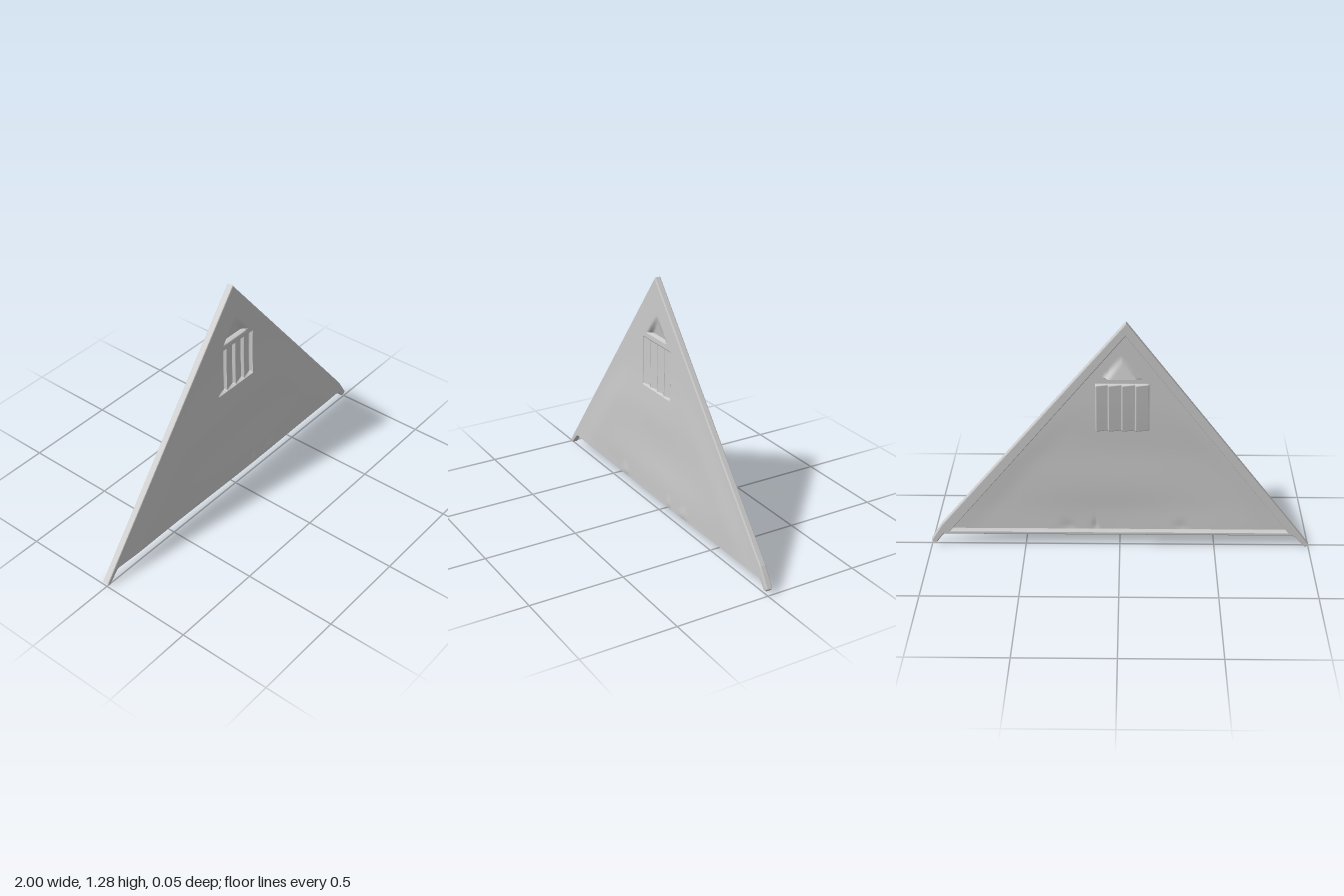
import * as THREE from 'three';

const APEX = [-0.03, 1.285];
const BASE = 0.075;
const LEFT_RUN = 0.767, RIGHT_RUN = 0.827; // horizontal run per unit of drop
const SLATS = { x0: -0.145, x1: 0.125, y0: 0.68, y1: 0.94, n: 4 };

const grey = () => new THREE.MeshStandardMaterial({ color: 0xcccccc, side: THREE.DoubleSide });
const smooth = THREE.MathUtils.smoothstep;
const bump = (x, y, cx, cy, rx, ry) => Math.exp(-(((x - cx) / rx) ** 2) - ((y - cy) / ry) ** 2);
const slopeX = (y, side, inset) => side < 0
  ? APEX[0] - (APEX[1] - y) * LEFT_RUN + inset
  : APEX[0] + (APEX[1] - y) * RIGHT_RUN - inset;

// Rim with sloping sides, drooping eave tips and a triangular opening
function makeFrame() {
  const points = [APEX, [-0.93, 0.113], [-1, 0.02], [-0.983, 0.004], [-0.925, 0.066], [-0.91, BASE],
    [0.93, BASE], [0.945, 0.06], [0.97, 0.026], [0.99, 0.026], [1, 0.04], [0.94, 0.135]];
  const outline = new THREE.Shape(points.map(p => new THREE.Vector2(...p)));
  const hole = [[-0.886, 0.095], [0.896, 0.095], [-0.028, 1.213]];
  outline.holes.push(new THREE.Path(hole.map(p => new THREE.Vector2(...p))));
  const geometry = new THREE.ExtrudeGeometry(outline, {
    depth: 0.023, bevelEnabled: true, bevelThickness: 0.006, bevelSize: 0.006, bevelOffset: -0.006, bevelSegments: 2,
  });
  geometry.translate(0, 0, -0.021);
  const frame = new THREE.Mesh(geometry, grey());
  frame.name = 'gableFrame';
  return frame;
}

// Height of the cloth-like panel, with the slatted window and its small pediment
function panelZ(x, y) {
  const edge = Math.min(x - slopeX(y, -1, 0.02), slopeX(y, 1, 0.02) - x);
  const fade = smooth(edge, 0, 0.2) * (1 - smooth(y, 0.5, 0.85));
  let z = 0.0085 + fade * (0.006 + 0.003 * Math.sin(5 * x + 1) * Math.cos(7 * y) + 0.004 * bump(x, y, 0, 0.55, 0.3, 0.15));
  // Creases along the bottom edge
  for (const [cx, r] of [[-0.33, 0.06], [0.13, 0.035], [0.27, 0.06]]) {
    z += 0.012 * Math.max(0, 1 - Math.abs(x - cx) / r - (y - BASE) / 0.09) * smooth(y, BASE, BASE + 0.03);
  }
  z += 0.004 * bump(x, y, 0, 0.2, 0.6, 0.1);
  // Slats: each one leans back from its raised edge
  const s = SLATS;
  if (x > s.x0 && x < s.x1 && y > s.y0 && y < s.y1) {
    const t = ((x - s.x0) / (s.x1 - s.x0) * s.n) % 1;
    z -= 0.004 + 0.018 * t;
  }
  // Triangular pediment, deepest along its lower edge
  const px = Math.abs(x + 0.01) / 0.095;
  const h = (y - 0.975) / 0.125;
  if (h > 0 && px + h < 1) z -= 0.024 * (1 - h) * smooth(1 - h - px, 0, 0.3);
  return z;
}

// Sorted stations: a regular run plus pairs hugging each sharp break
function stations(from, to, step, fineFrom, fineTo, breaks) {
  const list = [];
  for (let v = from; v < to; v += (v > fineFrom && v < fineTo) ? 0.01 : step) list.push(v);
  list.push(to);
  for (const b of breaks) list.push(b - 0.001, b + 0.001);
  return list.sort((a, b) => a - b);
}

function makePanel() {
  const slatEdges = Array.from({ length: SLATS.n + 1 }, (_, i) => SLATS.x0 + (SLATS.x1 - SLATS.x0) * i / SLATS.n);
  const xs = stations(-0.94, 0.95, 0.025, -0.18, 0.15, slatEdges);
  const ys = stations(BASE, 1.25, 0.02, 0.65, 1.12, [SLATS.y0, SLATS.y1, 0.975]);
  const position = [], index = [];
  ys.forEach((y, j) => xs.forEach((x, i) => {
    const px = THREE.MathUtils.clamp(x, slopeX(y, -1, 0.02), slopeX(y, 1, 0.02));
    position.push(px, y, panelZ(px, y));
    if (i && j) {
      const d = j * xs.length + i, c = d - 1, b = d - xs.length, a = b - 1;
      const wide = Math.abs(position[3 * b] - position[3 * a]) > 1e-5;
      if (wide) index.push(a, b, d);
      if (Math.abs(position[3 * d] - position[3 * c]) > 1e-5) index.push(a, d, c);
    }
  }));
  const geometry = new THREE.BufferGeometry();
  geometry.setAttribute('position', new THREE.Float32BufferAttribute(position, 3));
  geometry.setIndex(index);
  geometry.computeVertexNormals();
  const panel = new THREE.Mesh(geometry, grey());
  panel.name = 'gablePanelWithSlattedWindow';
  return panel;
}

export function createModel() {
  const model = new THREE.Group();
  model.name = 'roofGable';
  model.add(makeFrame(), makePanel());
  return model;
}
